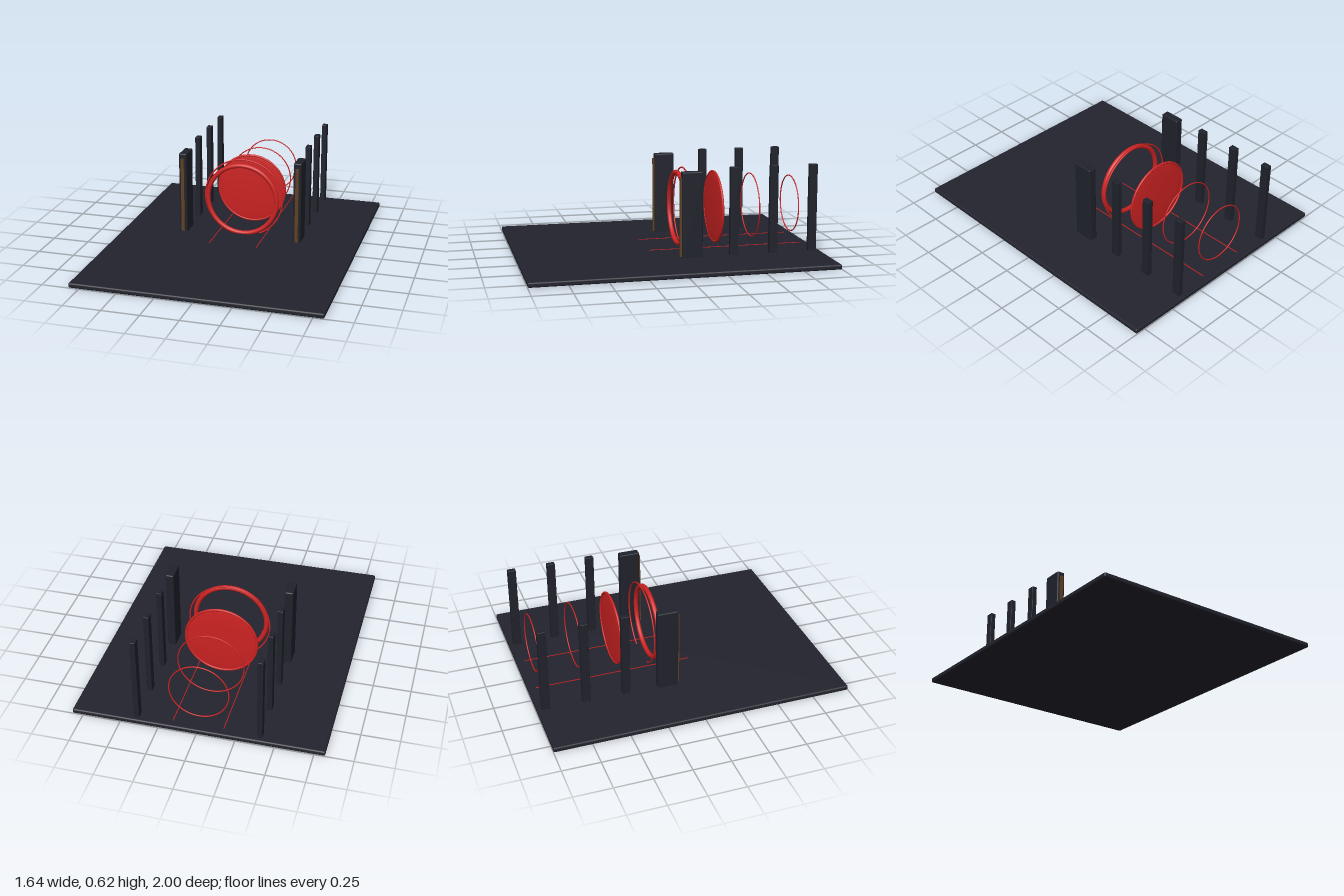
import * as THREE from 'three';
import { RoundedBoxGeometry } from 'three/addons/geometries/RoundedBoxGeometry.js';

const paint = (name, color) => {
  const m = new THREE.MeshStandardMaterial({ color });
  m.name = name;
  return m;
};

export function createModel() {
  const model = new THREE.Group();
  model.name = 'ringGateway';
  const slate = paint('dark slate', 0x23232e);
  const postSlate = paint('post slate', 0x20222c);
  const red = paint('signal red', 0xcc2222);
  const bronze = paint('bronze', 0x5f4022);

  const add = (name, geometry, material, x, y, z) => {
    const mesh = new THREE.Mesh(geometry, material);
    mesh.name = name;
    mesh.position.set(x, y, z);
    model.add(mesh);
    return mesh;
  };

  // Floor slab with softened edges
  const floorTop = 0.037;
  add('floor', new RoundedBoxGeometry(1.64, 0.033, 2, 2, 0.01), slate, 0, 0.0205, 0);

  // Mirrored pillars, inlays, posts and floor lines
  for (const side of [-1, 1]) {
    const tag = side > 0 ? 'left' : 'right';
    const x = side * 0.403;
    add(tag + 'FrontPillar', new RoundedBoxGeometry(0.055, 0.58, 0.138, 2, 0.008), postSlate, x, 0.311, -0.118);
    add(tag + 'PillarInlay', new THREE.BoxGeometry(0.022, 0.525, 0.014), bronze, x, 0.304, -0.045);
    for (const z of [-0.402, -0.672, -0.942]) {
      add(tag + 'Post', new RoundedBoxGeometry(0.035, 0.59, 0.055, 1, 0.003), postSlate, side * 0.4, 0.326, z);
    }
    add(tag + 'FloorLine', new THREE.BoxGeometry(0.005, 0.004, 1.06), red, side * 0.165, floorTop + 0.001, -0.415);
  }

  // Row of hoops shrinking toward the back: [radius, tube, z]
  const centreY = 0.284;
  const hoops = [
    [0.244, 0.016, -0.12],
    [0.275, 0.005, -0.16],
    [0.24, 0.008, -0.376],
    [0.218, 0.004, -0.638],
    [0.193, 0.004, -0.922],
  ];
  for (const [radius, tube, z] of hoops) {
    add('hoop', new THREE.TorusGeometry(radius, tube, 12, 72), red, 0, centreY, z);
  }

  // Shallow lens filling the third hoop
  add('disc', new THREE.SphereGeometry(0.24, 64, 24), red, 0, centreY, -0.374).scale.z = 0.05;

  return model;
}
